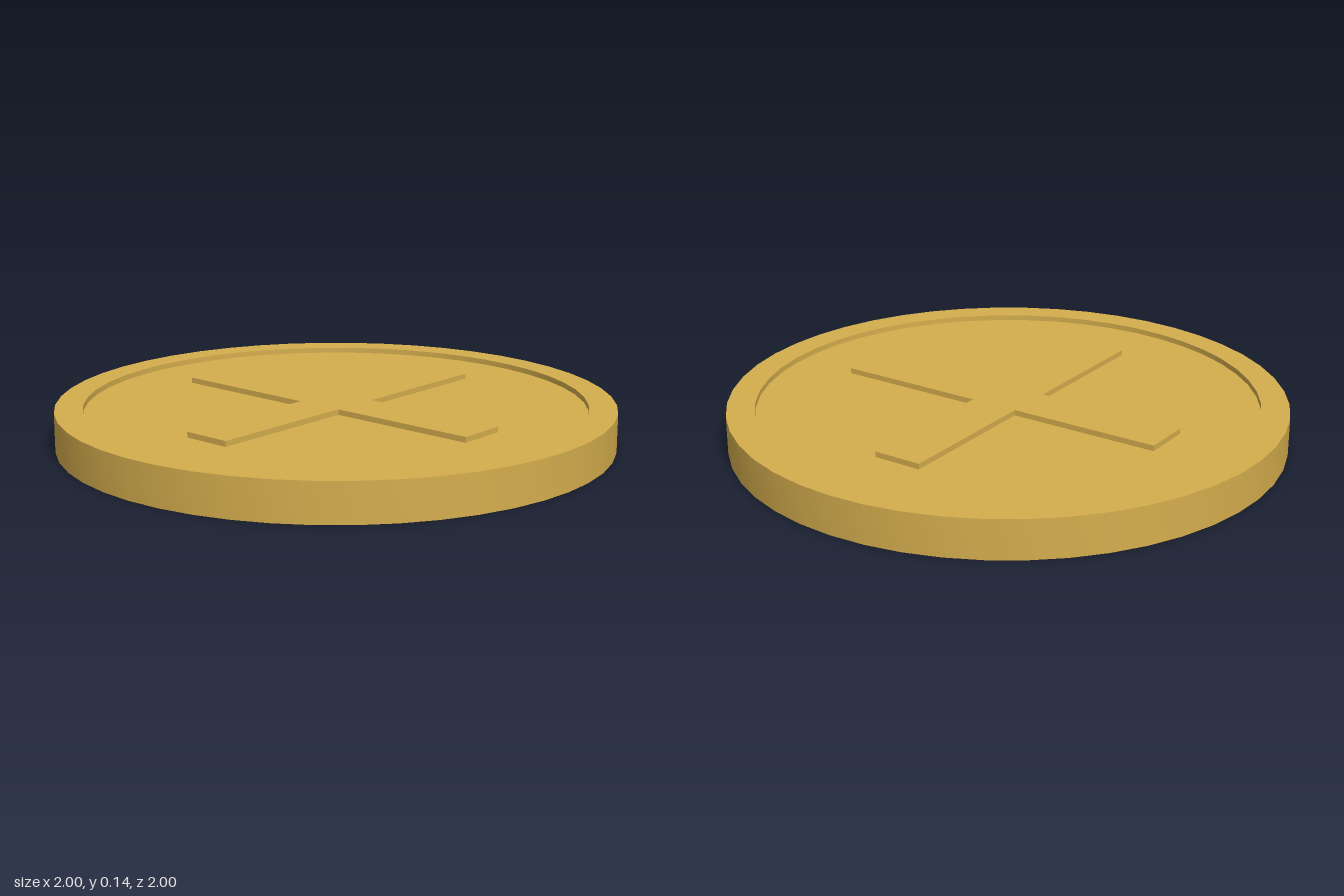
import * as THREE from 'three';
import { toCreasedNormals } from 'three/addons/utils/BufferGeometryUtils.js';

export function createModel() {
  const group = new THREE.Group();
  group.name = 'coin';
  const gold = new THREE.MeshStandardMaterial({ color: 0xd4ad4d });
  const thickness = 0.14, recess = 0.02, segments = 48;
  const outer = 1, inner = 0.9;

  const add = (name, geometry) => {
    const mesh = new THREE.Mesh(geometry, gold);
    mesh.name = name;
    group.add(mesh);
    return mesh;
  };

  // Raised rim: a rectangular section turned around y
  const section = [[inner, 0], [outer, 0], [outer, thickness], [inner, thickness], [inner, 0]]
    .map(([x, y]) => new THREE.Vector2(x, y));
  add('rim', toCreasedNormals(new THREE.LatheGeometry(section, segments), 0.5));

  // Sunken field on both faces
  add('field', new THREE.CylinderGeometry(inner, inner, thickness - 2 * recess, segments))
    .position.y = thickness / 2;

  // Cross in relief on both faces, level with the rim
  const w = 0.09, l = 0.65;
  const outline = [];
  for (let i = 0; i < 4; i++) {
    const a = i * Math.PI / 2;
    for (const [x, y] of [[l, -w], [l, w], [w, w]]) {
      outline.push(new THREE.Vector2(x, y).rotateAround(new THREE.Vector2(), a));
    }
  }
  const cross = new THREE.ExtrudeGeometry(new THREE.Shape(outline), { depth: thickness, bevelEnabled: false });
  cross.rotateX(-Math.PI / 2);
  add('cross', cross);

  return group;
}
